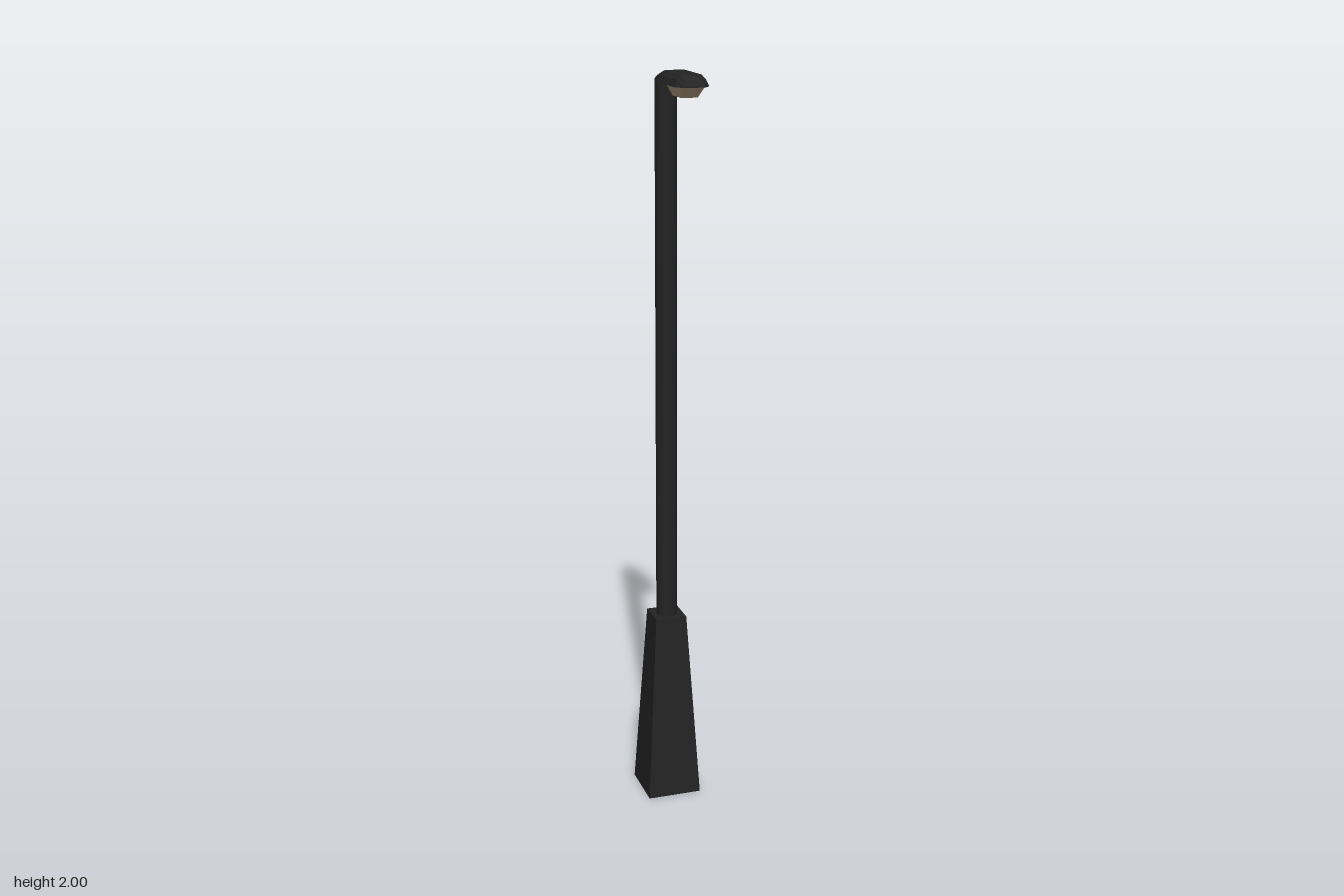
import * as THREE from 'three';

// Skin equal-sized rings of points, closing both ends with fans
function loft(rings) {
  const n = rings[0].length, pos = [], idx = [];
  rings.forEach(r => r.forEach(p => pos.push(...p)));
  for (let i = 0; i < rings.length - 1; i++) {
    for (let j = 0; j < n; j++) {
      const a = i * n + j, b = i * n + (j + 1) % n;
      idx.push(a, b, b + n, a, b + n, a + n);
    }
  }
  const last = (rings.length - 1) * n;
  for (let j = 1; j < n - 1; j++) {
    idx.push(0, j + 1, j, last, last + j, last + j + 1);
  }
  const g = new THREE.BufferGeometry();
  g.setAttribute('position', new THREE.Float32BufferAttribute(pos, 3));
  g.setIndex(idx);
  const flat = g.toNonIndexed();
  flat.computeVertexNormals();
  return flat;
}

export function createModel() {
  const group = new THREE.Group();
  const metal = new THREE.MeshStandardMaterial({ color: 0x242424 });
  metal.name = 'black metal';
  const glass = new THREE.MeshStandardMaterial({ color: 0xb8a685 });
  glass.name = 'warm lens';
  const poleZ = -0.081;

  function add(name, geometry, material) {
    const mesh = new THREE.Mesh(geometry, material);
    mesh.name = name;
    group.add(mesh);
    return mesh;
  }

  // Tapered square base
  const baseGeo = new THREE.CylinderGeometry(0.043 * Math.SQRT2, 0.074 * Math.SQRT2, 0.525, 4)
    .rotateY(Math.PI / 4).toNonIndexed();
  baseGeo.computeVertexNormals();
  add('base', baseGeo, metal).position.set(0, 0.2625, poleZ);

  // Round pole
  add('pole', new THREE.CylinderGeometry(0.029, 0.029, 1.45, 12), metal)
    .position.set(0, 1.248, poleZ);

  // Lamp housing with a neck over the pole: z, half width, top half width, top height
  const bottom = 1.972;
  const sections = [
    [-0.11, 0.012, 0.010, 1.974],
    [-0.10, 0.023, 0.018, 1.977],
    [-0.08, 0.029, 0.022, 1.982],
    [-0.036, 0.038, 0.025, 1.993],
    [-0.01, 0.045, 0.025, 2.0],
    [0.125, 0.045, 0.025, 2.0],
    [0.154, 0.027, 0.018, 1.976],
  ];
  add('lampHousing', loft(sections.map(([z, w, t, top]) => {
    const mid = bottom + (top - bottom) * 0.6, m = w * 0.55 + t * 0.45;
    return [[-w, bottom, z], [w, bottom, z], [m, mid, z],
      [t, top, z], [-t, top, z], [-m, mid, z]];
  })), metal);

  // Lens tapering downward below the housing
  const lensGeo = new THREE.BoxGeometry(0.064, 0.03, 0.12);
  const p = lensGeo.attributes.position;
  for (let i = 0; i < p.count; i++) {
    if (p.getY(i) < 0) p.setXYZ(i, p.getX(i) * 0.66, p.getY(i), p.getZ(i) * 0.58);
  }
  const lensFlat = lensGeo.toNonIndexed();
  lensFlat.computeVertexNormals();
  add('lens', lensFlat, glass).position.set(0, 1.959, 0.075);

  return group;
}
